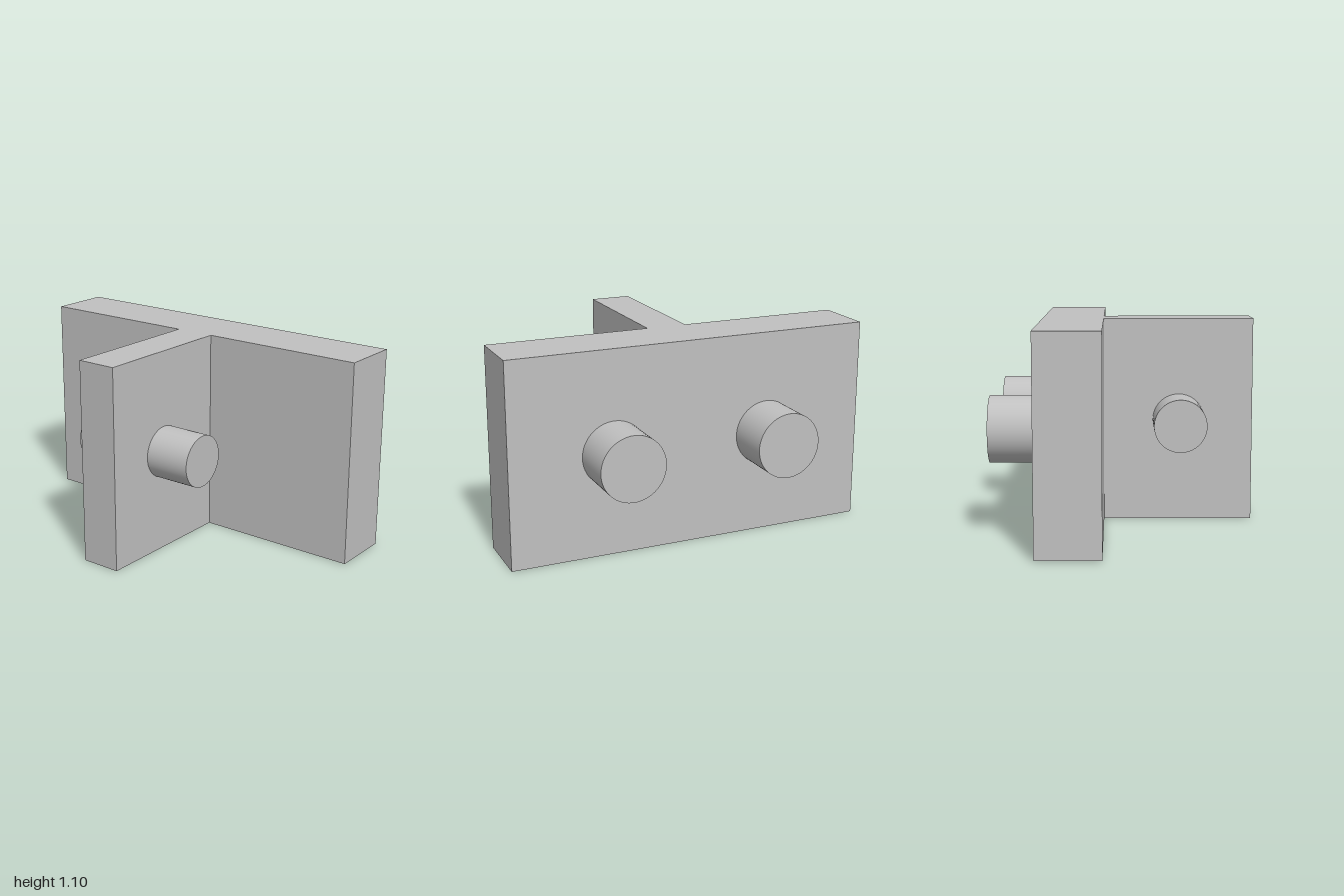
import * as THREE from 'three';

const HEIGHT = 1.1;
const BACK = -0.44, STEP = -0.11, FRONT = 0.695; // z of plate back, plate front, web front
const WEB = 0.11; // half thickness of the web

export function createModel() {
  const model = new THREE.Group();
  model.name = 'teeBracket';
  const grey = new THREE.MeshStandardMaterial({ color: 0xc0c0c0 });
  grey.name = 'grey';

  // T-shaped body: wide back plate and central web in one extrusion (shape y = -z)
  const outline = [
    [-1, BACK], [-1, STEP], [-WEB, STEP], [-WEB, FRONT],
    [WEB, FRONT], [WEB, STEP], [1, STEP], [1, BACK],
  ].map(([x, z]) => new THREE.Vector2(x, -z));
  const bodyGeometry = new THREE.ExtrudeGeometry(new THREE.Shape(outline), {
    depth: HEIGHT, bevelEnabled: false,
  });
  bodyGeometry.rotateX(-Math.PI / 2);
  const body = new THREE.Mesh(bodyGeometry, grey);
  body.name = 'teeBody';
  model.add(body);

  // Round peg centred at (x, z), half way up the body
  function addPeg(name, radius, length, x, z, axis) {
    const geometry = new THREE.CylinderGeometry(radius, radius, length, 64);
    if (axis === 'x') geometry.rotateZ(Math.PI / 2);
    else geometry.rotateX(Math.PI / 2);
    const peg = new THREE.Mesh(geometry, grey);
    peg.name = name;
    peg.position.set(x, HEIGHT / 2, z);
    model.add(peg);
  }

  // Mirrored pegs: one on each web side, two on the back of the plate
  for (const [side, s] of [['left', 1], ['right', -1]]) {
    addPeg(side + 'WebPeg', 0.14, 0.255, s * 0.2375, 0.295, 'x');
    addPeg(side + 'BackPeg', 0.175, 0.255, s * 0.435, -0.5675, 'z');
  }
  return model;
}
